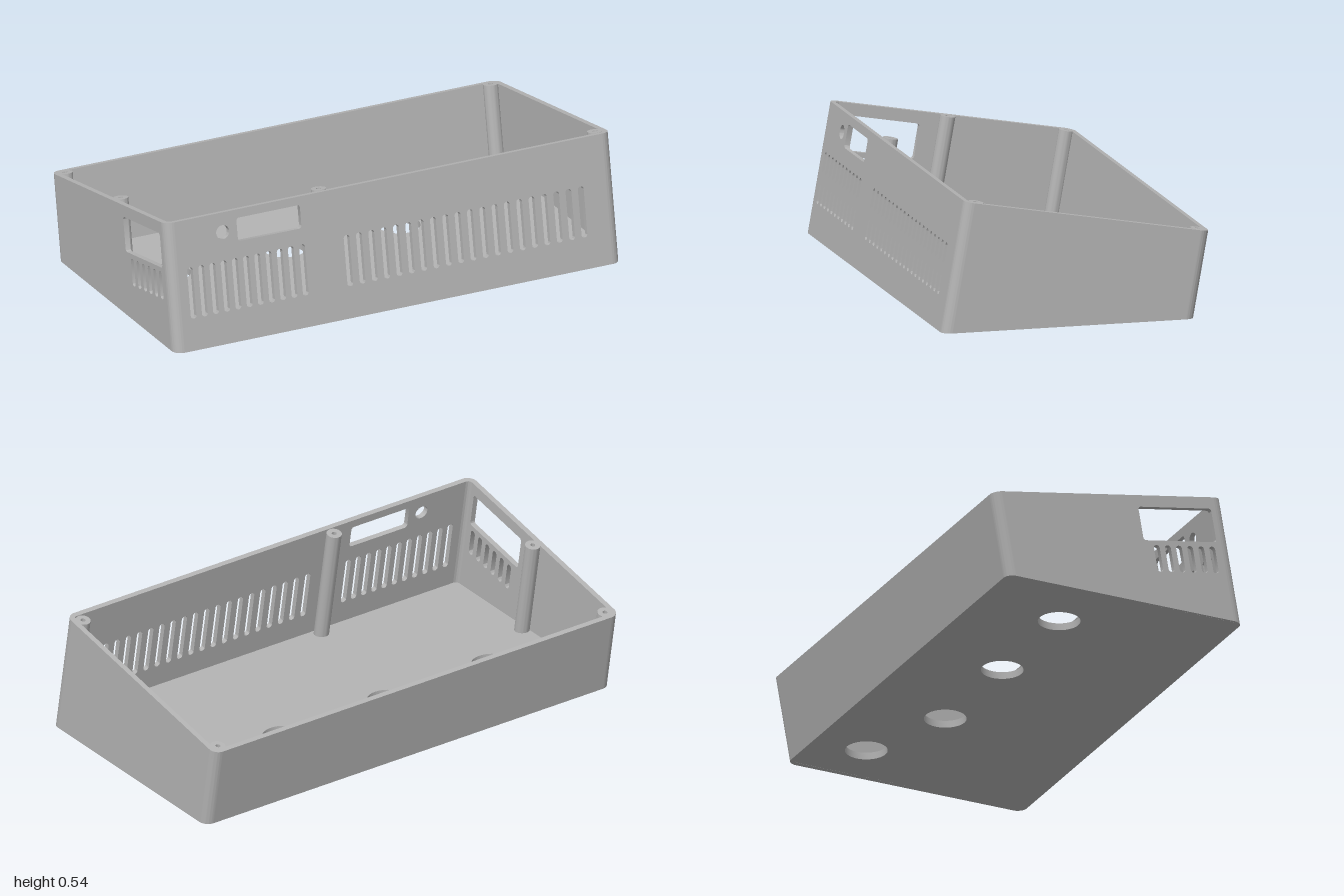
import * as THREE from 'three';
import { toCreasedNormals } from 'three/addons/utils/BufferGeometryUtils.js';

const TILT = Math.atan(0.095 / 0.535);      // lean of the walls
const D = 1.036;                            // depth along the sloped rim
const T = 0.022;                            // wall thickness
const R = 0.04;                             // corner radius
const H = 0.62;                             // wall length before trimming at the ground

// Tilted frame: origin at the top front edge, y along the walls, z along the rim
const ground = (z) => -0.543 - z * 0.1767;

export function createModel() {
  const model = new THREE.Group();
  const grey = new THREE.MeshStandardMaterial({ color: 0xb4b4b4 });
  grey.name = 'grey plastic';

  const shell = new THREE.Group();
  shell.name = 'shell';
  shell.position.set(0, 0.535, 0.465);
  shell.rotation.x = -TILT;
  model.add(shell);

  const add = (parent, name, geo) => {
    const mesh = new THREE.Mesh(toCreasedNormals(geo, 0.6), grey);
    mesh.name = name;
    parent.add(mesh);
  };
  const extrude = (shape, depth) =>
    new THREE.ExtrudeGeometry(shape, { depth, bevelEnabled: false, curveSegments: 16 });

  // Cut the lower ends level with the ground
  const trim = (geo, lift = 0) => {
    const p = geo.attributes.position;
    for (let i = 0; i < p.count; i++) p.setY(i, Math.max(p.getY(i), ground(p.getZ(i)) + lift));
    geo.computeVertexNormals();
    return geo;
  };

  // Rounded rectangle from corner coordinates
  const rounded = (Type, x0, y0, x1, y1, r) => {
    const s = new Type();
    s.absarc(x1 - r, y0 + r, r, -Math.PI / 2, 0);
    s.absarc(x1 - r, y1 - r, r, 0, Math.PI / 2);
    s.absarc(x0 + r, y1 - r, r, Math.PI / 2, Math.PI);
    s.absarc(x0 + r, y0 + r, r, Math.PI, Math.PI * 1.5);
    s.closePath();
    return s;
  };
  const panel = (x0, x1, yl, yr) => new THREE.Shape([
    new THREE.Vector2(x0, yl), new THREE.Vector2(x1, yr),
    new THREE.Vector2(x1, 0), new THREE.Vector2(x0, 0)]);
  const slots = (shape, first, step, count, y0, y1, w) => {
    for (let i = 0; i < count; i++) {
      const x = first + i * step;
      shape.holes.push(rounded(THREE.Path, x - w / 2, y0, x + w / 2, y1, w / 2 - 0.0005));
    }
  };
  const circle = (Type, x, y, r) => {
    const c = new Type();
    c.absarc(x, y, r, 0, Math.PI * 2);
    return c;
  };

  // Front wall with two vent rows, a display window and a round hole
  const front = panel(-1 + R, 1 - R, -H, -H);
  slots(front, -0.908, 0.0503, 11, -0.411, -0.198, 0.026);
  slots(front, -0.205, 0.0553, 20, -0.411, -0.198, 0.026);
  front.holes.push(rounded(THREE.Path, -0.685, -0.132, -0.4, -0.035, 0.012));
  front.holes.push(circle(THREE.Path, -0.75, -0.081, 0.029));
  add(shell, 'frontWall', trim(extrude(front, T).translate(0, 0, -T)));

  // Back wall
  add(shell, 'backWall', trim(extrude(panel(-1 + R, 1 - R, -H, -H), T).translate(0, 0, -D)));

  // Side walls, drawn as distance from the front; the right one has a window and vents
  for (const side of [-1, 1]) {
    const s = panel(R, D - R, ground(-R), ground(R - D));
    if (side < 0) {
      s.holes.push(rounded(THREE.Path, 0.06, -0.195, 0.39, -0.05, 0.012));
      slots(s, 0.085, 0.0503, 6, -0.33, -0.215, 0.026);
    }
    const geo = extrude(s, T).rotateY(Math.PI / 2).translate(side < 0 ? -1 : 1 - T, 0, 0);
    add(shell, side < 0 ? 'rightWall' : 'leftWall', geo);
  }

  // Rounded corner columns
  const corners = [[1 - R, -R, 0], [1 - R, R - D, -1], [-1 + R, R - D, -2], [-1 + R, -R, -3]];
  for (const [x, z, quarter] of corners) {
    // plan shape uses -z as its second axis
    const a = -Math.PI / 2 - quarter * Math.PI / 2;
    const s = new THREE.Shape();
    s.absarc(x, -z, R, a, a + Math.PI / 2, false);
    s.absarc(x, -z, R - T, a + Math.PI / 2, a, true);
    s.closePath();
    add(shell, 'corner', trim(extrude(s, H).rotateX(-Math.PI / 2).translate(0, -H, 0)));
  }

  // Screw posts with bores
  const posts = [[-0.955, -0.995], [0.955, -0.995], [-0.955, -0.493], [-0.285, -0.056], [0.955, -0.056]];
  for (const [x, z] of posts) {
    const s = circle(THREE.Shape, x, -z, 0.031);
    s.holes.push(circle(THREE.Path, x, -z, 0.01));
    const geo = extrude(s, H).rotateX(-Math.PI / 2).translate(0, -H, 0);
    add(shell, 'screwPost', trim(geo, 0.02));
  }

  // Level floor with four round holes, its edge leaning with the walls
  const e = T / 2;
  const floor = rounded(THREE.Shape, -1 + e, -0.56 + e, 1 - e, 0.49 - e, R - e);
  for (const [x, z] of [[-0.69, -0.11], [-0.175, -0.11], [0.34, -0.11], [0.75, -0.26]]) {
    floor.holes.push(circle(THREE.Path, x, -z, 0.086));
  }
  add(model, 'floor', extrude(floor, 0.03).rotateX(-Math.PI / 2));

  return model;
}
